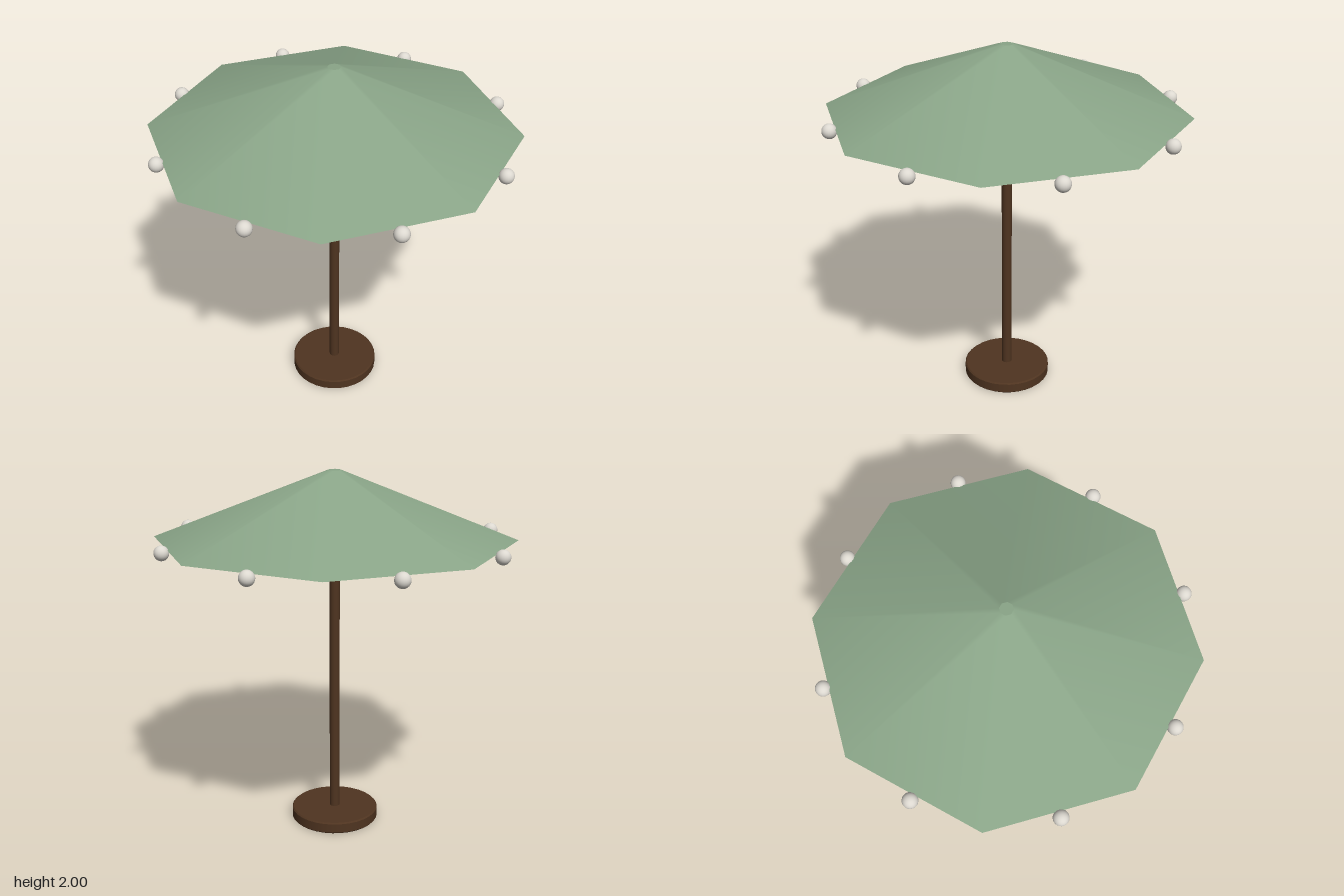
import * as THREE from 'three';

const material = (name, color) => {
  const m = new THREE.MeshStandardMaterial({ color });
  m.name = name;
  return m;
};

export function createModel() {
  const sage = material('sage canvas', 0x8aa588);
  const wood = material('dark wood', 0x4f3420);
  const cream = material('cream', 0xdcd8d0);

  const model = new THREE.Group();
  model.name = 'parasol';
  const add = (name, geometry, mat, y) => {
    const mesh = new THREE.Mesh(geometry, mat);
    mesh.name = name;
    mesh.position.y = y;
    model.add(mesh);
    return mesh;
  };

  // Round foot with softly bevelled rims
  const foot = new THREE.CylinderGeometry(0.24, 0.24, 0.065, 32, 1);
  foot.dispose();
  const profile = [[0, 0], [0.238, 0], [0.238, 0], [0.245, 0.007], [0.245, 0.007],
    [0.245, 0.058], [0.245, 0.058], [0.238, 0.065], [0.238, 0.065], [0, 0.065]];
  for (let i = 0; i < profile.length - 1; i++) {
    if (profile[i].join() === profile[i + 1].join()) continue;
    const band = profile.slice(i, i + 2).map(([x, y]) => new THREE.Vector2(x, y));
    add('foot', new THREE.LatheGeometry(band, 32), wood, 0);
  }

  // Pole, from the foot up into the canopy
  add('pole', new THREE.CylinderGeometry(0.028, 0.028, 1.64, 16), wood, 0.88);

  // Eight-sided canopy with a closed underside and a tiny flat crown
  const low = 1.635, high = 2;
  add('canopy', new THREE.CylinderGeometry(0.035, 0.978, high - low, 8), sage, (low + high) / 2);

  // One bobble in the middle of each canopy edge
  const bobble = new THREE.SphereGeometry(0.04, 20, 14);
  for (let i = 0; i < 8; i++) {
    const a = (i + 0.5) * Math.PI / 4;
    const mesh = add('bobble', bobble, cream, 1.62);
    mesh.position.x = 0.932 * Math.cos(a);
    mesh.position.z = 0.932 * Math.sin(a);
  }
  return model;
}
